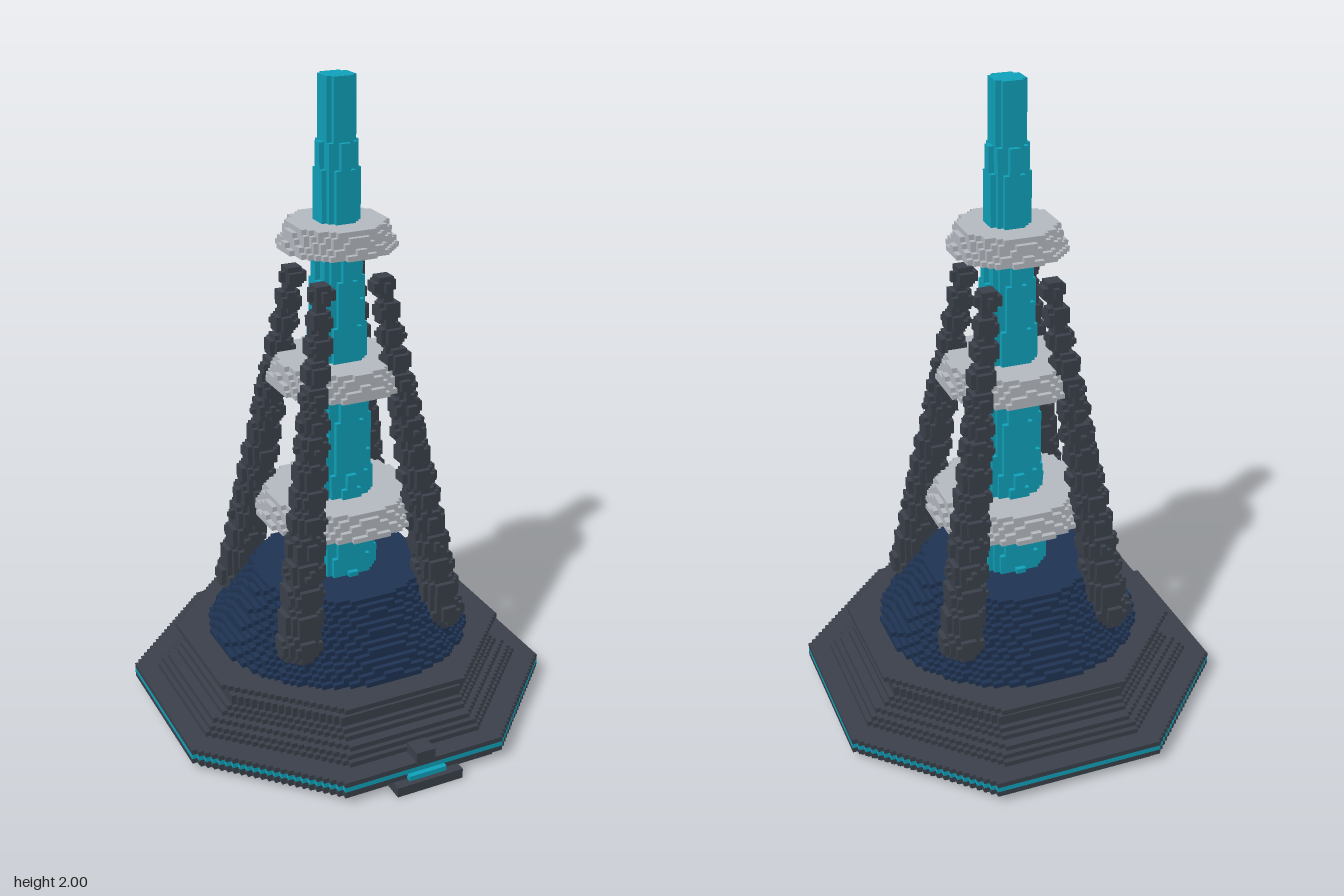
import * as THREE from 'three';

const V = 1 / 64;      // edge of one cube cell
const CZ = -1;         // tower axis, in cells along z
const HALF = 40;       // half width of the cell grid
const HEIGHT = 128;

const mat = (name, color) => {
  const m = new THREE.MeshStandardMaterial({ color });
  m.name = name;
  return m;
};

// Outlines tested at a cell centre, relative to the tower axis
const octagon = (x, z, a) =>
  Math.max(Math.abs(x), Math.abs(z)) < a && Math.abs(x) + Math.abs(z) < a * Math.SQRT2;
const disc = (x, z, r) => x * x + z * z < r * r;
const lerp = THREE.MathUtils.lerp;

// The six cube faces: neighbour direction and two edge axes with u x v = n
const FACES = [
  [[1, 0, 0], [0, 1, 0], [0, 0, 1]], [[-1, 0, 0], [0, 0, 1], [0, 1, 0]],
  [[0, 1, 0], [0, 0, 1], [1, 0, 0]], [[0, -1, 0], [1, 0, 0], [0, 0, 1]],
  [[0, 0, 1], [1, 0, 0], [0, 1, 0]], [[0, 0, -1], [0, 1, 0], [1, 0, 0]],
];

const key = (i, j, k) => ((j + 1) * 128 + k + 64) * 128 + i + 64;

// Claim every free cell in layers j0..j1 whose centre passes the test
function fill(grid, part) {
  part.cells = [];
  for (let j = part.from; j < part.to; j++)
    for (let k = -HALF; k < HALF; k++)
      for (let i = -HALF; i < HALF; i++) {
        const id = key(i, j, k);
        if (grid.has(id)) continue;
        if (part.test((i + 0.5) * V, (j + 0.5) * V, (k + 0.5 - CZ) * V, j)) {
          grid.add(id);
          part.cells.push([i, j, k]);
        }
      }
}

// Surface of a part: only the cube faces that are not against another cell
function skin(grid, cells) {
  const pos = [], nor = [], idx = [];
  for (const c of cells)
    for (const [n, u, v] of FACES) {
      if (grid.has(key(c[0] + n[0], c[1] + n[1], c[2] + n[2]))) continue;
      const base = pos.length / 3;
      for (const [a, b] of [[0, 0], [1, 0], [1, 1], [0, 1]]) {
        for (let d = 0; d < 3; d++)
          pos.push((c[d] + Math.max(n[d], 0) + a * u[d] + b * v[d]) * V);
        nor.push(...n);
      }
      idx.push(base, base + 1, base + 2, base, base + 2, base + 3);
    }
  const g = new THREE.BufferGeometry();
  g.setAttribute('position', new THREE.Float32BufferAttribute(pos, 3));
  g.setAttribute('normal', new THREE.Float32BufferAttribute(nor, 3));
  g.setIndex(idx);
  return g;
}

export function createModel() {
  const charcoal = mat('charcoal', 0x3b414b);
  const teal = mat('teal', 0x10a3bc);
  const navy = mat('navy', 0x1f3454);
  const silver = mat('silver', 0xb6bbc2);
  const parts = [];
  const add = (name, material, from, to, test) => parts.push({ name, material, from, to, test });

  // Entry step, its light strip and the small console at the front
  add('entryStep', charcoal, 0, 2, (x, y, z) => Math.abs(x) < 0.105 && z > 0.5 && z < 0.641);
  add('entryLight', teal, 2, 3, (x, y, z) => Math.abs(x) < 0.0625 && z > 0.609 && z < 0.625);
  add('entryConsole', charcoal, 5, 7, (x, y, z) => Math.abs(x) < 0.035 && z > 0.55 && z < 0.609);

  // Octagonal foot with a light stripe around its rim
  add('foot', charcoal, 0, 2, (x, y, z) => octagon(x, z, 0.58));
  add('rimLower', charcoal, 2, 3, (x, y, z) => octagon(x, z, 0.609));
  add('rimLight', teal, 3, 4, (x, y, z) => octagon(x, z, 0.609));
  add('rimUpper', charcoal, 4, 5, (x, y, z) => octagon(x, z, 0.609));

  // Stepped plinth, one apothem per layer, under an overhanging lip
  const steps = [0.54, 0.524, 0.508, 0.485, 0.469, 0.453, 0.453, 0.44, 0.44];
  add('plinth', charcoal, 5, 14, (x, y, z, j) => octagon(x, z, steps[j - 5]));
  add('plinthLip', charcoal, 14, 15, (x, y, z) => octagon(x, z, 0.485));

  // Four beaded legs leaning in on the diagonals
  const BEADS = 14;
  for (const [name, sx, sz] of [['frontLeftLeg', 1, 1], ['frontRightLeg', -1, 1],
    ['backLeftLeg', 1, -1], ['backRightLeg', -1, -1]])
    add(name, charcoal, 15, 92, (x, y, z) => {
      for (let b = 0; b <= BEADS; b++) {
        const t = b / BEADS;
        const o = lerp(0.245, 0.1, t), r = lerp(0.068, 0.036, t);
        const dx = x * sx - o, dz = z * sz - o, dy = y - lerp(0.35, 1.39, t);
        if (dx * dx + dy * dy + dz * dz < r * r) return true;
      }
      return false;
    });

  // Domed skirt
  add('skirt', navy, 15, 29, (x, y, z) => disc(x, z, lerp(0.412, 0.27, (y - 0.24) / 0.205)));

  // Three flared collars, smaller toward the top
  for (const [name, j0, r] of [['lowerCollar', 41, 0.25], ['middleCollar', 69, 0.21], ['upperCollar', 96, 0.172]])
    add(name, silver, j0, j0 + 5, (x, y, z, j) => disc(x, z, r - (j - j0) * 0.007));

  // Tapering mast
  add('mast', teal, 29, HEIGHT, (x, y, z) => disc(x, z, lerp(0.118, 0.047, (y - 0.45) / 1.55)));

  const grid = new Set();
  parts.forEach((p) => fill(grid, p));
  const group = new THREE.Group();
  group.name = 'beaconTower';
  for (const p of parts) {
    const mesh = new THREE.Mesh(skin(grid, p.cells), p.material);
    mesh.name = p.name;
    group.add(mesh);
  }
  return group;
}
